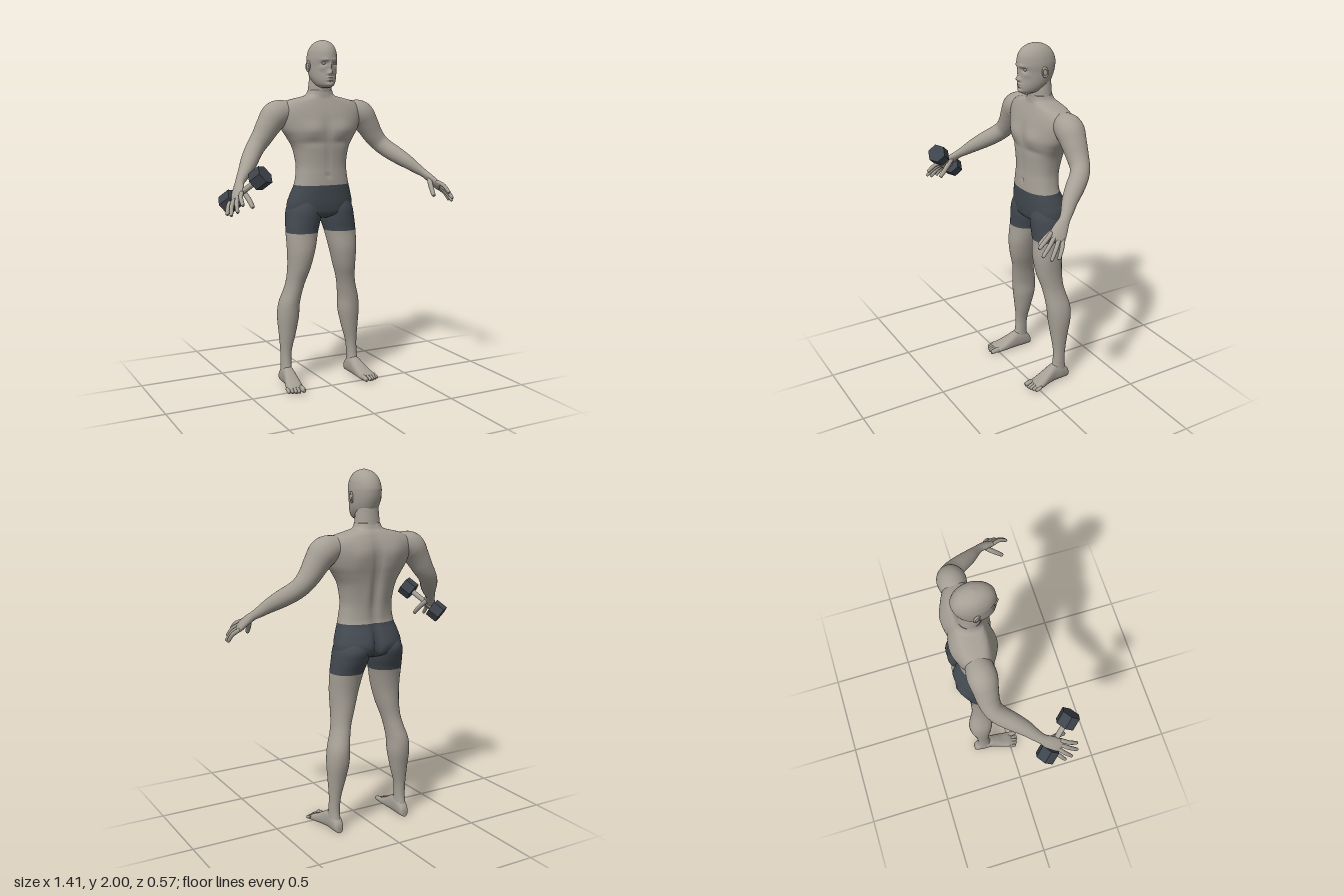
import * as THREE from 'three';

const skin = new THREE.MeshStandardMaterial({ color: 0xa59f95 });
skin.name = 'skin';
const cloth = new THREE.MeshStandardMaterial({ color: 0x424950 });
cloth.name = 'shorts cloth';
const iron = new THREE.MeshStandardMaterial({ color: 0x3e444b });
iron.name = 'dumbbell iron';
const steel = new THREE.MeshStandardMaterial({ color: 0xa8a49c });
steel.name = 'dumbbell handle';

// Smoothly interpolates rows of numbers, with `sub` steps between keys
function smoothRows(keys, sub) {
  const rows = [];
  const last = keys.length - 1;
  for (let i = 0; i < last; i++) {
    const a = keys[Math.max(i - 1, 0)], b = keys[i], c = keys[i + 1], d = keys[Math.min(i + 2, last)];
    for (let k = 0; k < sub; k++) {
      const t = k / sub;
      rows.push(b.map((v, j) => v + 0.5 * t * (c[j] - a[j]
        + t * (2 * a[j] - 5 * v + 4 * c[j] - d[j] + t * (3 * (v - c[j]) + d[j] - a[j])))));
    }
  }
  rows.push(keys[last]);
  return rows;
}

// Closed skin through rings; keys clothFrom..clothTo get the cloth material
function loft(name, keys, point, { n = 32, sub = 6, side = 1, clothFrom = 0, clothTo = 0 } = {}) {
  const rows = smoothRows(keys, sub), pos = [], idx = [];
  rows.forEach((row, i) => {
    for (let j = 0; j < n; j++) {
      const a = (j / n) * Math.PI * 2;
      const p = point(row, Math.cos(a), Math.sin(a), rows[Math.max(i - 1, 0)], rows[Math.min(i + 1, rows.length - 1)]);
      pos.push(p[0] * side, p[1], p[2]);
    }
  });
  const ends = [0, rows.length - 1].map((r) => {
    const c = [0, 0, 0];
    for (let j = 0; j < n * 3; j++) c[j % 3] += pos[r * n * 3 + j] / n;
    return c;
  });
  const capA = rows.length * n;
  pos.push(...ends[0], ...ends[1]);
  for (let i = 0; i < rows.length - 1; i++) {
    for (let j = 0; j < n; j++) {
      const a = i * n + j, b = i * n + (j + 1) % n;
      idx.push(a, b, a + n, b, b + n, a + n);
    }
  }
  const top = (rows.length - 1) * n;
  for (let j = 0; j < n; j++) {
    const k = (j + 1) % n;
    idx.push(capA, k, j, capA + 1, top + j, top + k);
  }
  // Turn every face outward
  let volume = 0;
  const A = new THREE.Vector3(), B = new THREE.Vector3(), C = new THREE.Vector3();
  for (let i = 0; i < idx.length; i += 3) {
    A.fromArray(pos, idx[i] * 3); B.fromArray(pos, idx[i + 1] * 3); C.fromArray(pos, idx[i + 2] * 3);
    volume += A.dot(B.cross(C));
  }
  if (volume < 0) idx.reverse();
  const geo = new THREE.BufferGeometry();
  geo.setAttribute('position', new THREE.Float32BufferAttribute(pos, 3));
  geo.setIndex(idx);
  geo.computeVertexNormals();
  let material = skin;
  if (clothTo > clothFrom) {
    const per = sub * n * 6, caps = n * 6, body = idx.length - caps;
    const flip = volume < 0, total = idx.length;
    const add = (s, e, m) => e > s && geo.addGroup(flip ? total - e : s, e - s, m);
    add(0, clothFrom * per, 0);
    add(clothFrom * per, clothTo * per, 1);
    add(clothTo * per, body, 0);
    add(body, total, clothTo * per === body ? 1 : 0);
    material = [skin, cloth];
  }
  const mesh = new THREE.Mesh(geo, material);
  mesh.name = name;
  return mesh;
}

const pw = (v, e) => Math.sign(v) * Math.abs(v) ** e;

// Level ring: [y, inner x, outer x, front z, back z]; bumps: [side, x, y, width, height, depth]
const levelRing = (e, bumps = [], egg = 0) => ([y, x0, x1, zf, zb], c, s) => {
  const x = (x0 + x1) / 2 + (x1 - x0) / 2 * pw(c, e) * (1 - egg * Math.max(s, 0));
  let z = (zf + zb) / 2 + (zf - zb) / 2 * pw(s, e);
  for (const [f, bx, by, w, h, d] of bumps) {
    if (f * s <= 0) continue;
    const g = Math.exp(-(((Math.abs(x) - bx) / w) ** 2) - ((y - by) / h) ** 2);
    z += f * d * g * Math.min(1, Math.abs(s) * 2);
  }
  return [x, y, z];
};
const centred = (keys) => keys.map(([y, w, f, b]) => [y, -w, w, f, b]);

// Limb ring across the path: [x, y, z, wide radius, thin radius]
const handBack = new THREE.Vector3(0.784, 0.609, 0.077);
const limbRing = (r, c, s, prev, next) => {
  const t = new THREE.Vector3(next[0] - prev[0], next[1] - prev[1], next[2] - prev[2]).normalize();
  const u = new THREE.Vector3().crossVectors(handBack, t).normalize();
  const v = new THREE.Vector3().crossVectors(t, u);
  return [0, 1, 2].map((k) => r[k] + u.getComponent(k) * r[3] * c + v.getComponent(k) * r[4] * s);
};
// Finger or toe through three points
function digit(name, a, b, c, r, side) {
  const tip = c.map((v, k) => v + (c[k] - b[k]) * 0.08);
  return loft(name, [[...a, r, r], [...b, r, r], [...c, r * 0.8, r * 0.8], [...tip, r * 0.25, r * 0.25]],
    limbRing, { n: 12, sub: 4, side });
}

function headAndTorso(g) {
  g.add(loft('torso', centred([
    [1.72, 0.068, -0.09, -0.213], [1.69, 0.085, -0.087, -0.225], [1.675, 0.14, -0.085, -0.237],
    [1.655, 0.215, -0.078, -0.25], [1.62, 0.255, -0.065, -0.266], [1.57, 0.258, -0.05, -0.276],
    [1.5, 0.235, -0.038, -0.274], [1.45, 0.203, -0.036, -0.266], [1.39, 0.17, -0.04, -0.254],
    [1.3, 0.152, -0.043, -0.238], [1.24, 0.155, -0.04, -0.233], [1.18, 0.166, -0.037, -0.237],
    [1.12, 0.186, -0.038, -0.262], [1.06, 0.2, -0.042, -0.278], [1.01, 0.185, -0.055, -0.262], [0.985, 0.08, -0.1, -0.21],
  ]), levelRing(0.85, [
    // chest, breastbone, belly line and navel
    [1, 0.09, 1.5, 0.065, 0.045, 0.013], [1, 0, 1.5, 0.016, 0.07, -0.006], [1, 0.09, 1.425, 0.07, 0.02, -0.006],
    [1, 0, 1.33, 0.012, 0.09, -0.004], [1, 0, 1.235, 0.008, 0.01, -0.008],
    // shoulder blades, spine and seat cleft
    [-1, 0.1, 1.56, 0.06, 0.07, 0.012], [-1, 0, 1.42, 0.022, 0.2, -0.018], [-1, 0.05, 1.3, 0.03, 0.1, 0.004],
    [-1, 0.09, 1.07, 0.06, 0.06, 0.006], [-1, 0, 1.06, 0.018, 0.08, -0.035],
  ]), { n: 80, clothFrom: 11, clothTo: 15 }));

  g.add(loft('neck', centred([[1.82, 0.058, -0.1, -0.208], [1.75, 0.066, -0.09, -0.212],
    [1.7, 0.073, -0.09, -0.217], [1.65, 0.09, -0.082, -0.235]]),
  levelRing(0.95, [[1, 0, 1.725, 0.014, 0.014, 0.006], [1, 0.03, 1.69, 0.012, 0.05, 0.004]])));

  g.add(loft('head', centred([
    [2, 0.004, -0.113, -0.125], [1.99, 0.035, -0.07, -0.165], [1.97, 0.058, -0.038, -0.2],
    [1.94, 0.073, -0.018, -0.223], [1.905, 0.08, -0.011, -0.235], [1.88, 0.081, -0.012, -0.235],
    [1.85, 0.079, -0.019, -0.23], [1.82, 0.076, -0.019, -0.22], [1.79, 0.07, -0.016, -0.205],
    [1.765, 0.06, -0.016, -0.18], [1.745, 0.046, -0.021, -0.155], [1.732, 0.022, -0.04, -0.11],
  ]), levelRing(0.95, [
    // eye sockets, brow and cheekbones
    [1, 0.032, 1.867, 0.015, 0.011, -0.013], [1, 0.028, 1.887, 0.02, 0.008, 0.006], [1, 0.045, 1.84, 0.016, 0.014, 0.005],
    // nose and nostrils
    [1, 0, 1.85, 0.009, 0.022, 0.013], [1, 0, 1.817, 0.011, 0.012, 0.022], [1, 0.013, 1.811, 0.006, 0.007, 0.009],
    // lips and chin
    [1, 0, 1.788, 0.021, 0.004, 0.008], [1, 0, 1.775, 0.018, 0.005, 0.008], [1, 0, 1.764, 0.02, 0.005, -0.003],
    [1, 0, 1.748, 0.02, 0.01, 0.005],
  ], 0.1), { n: 112, sub: 8 }));

  for (const side of [1, -1]) {
    const eye = new THREE.Mesh(new THREE.SphereGeometry(0.011, 16, 12), skin);
    eye.name = 'eye';
    eye.scale.set(1.1, 0.7, 0.8);
    eye.position.set(side * 0.031, 1.867, -0.038);
    const ear = new THREE.Group();
    ear.name = 'ear';
    const rim = new THREE.Mesh(new THREE.TorusGeometry(0.019, 0.006, 8, 24), skin);
    const bowl = new THREE.Mesh(new THREE.SphereGeometry(0.018, 16, 10), skin);
    rim.name = 'ear rim';
    bowl.name = 'ear bowl';
    bowl.scale.z = 0.35;
    ear.add(rim, bowl);
    ear.scale.set(0.75, 1.25, 1);
    ear.rotation.set(0.15, side * (Math.PI / 2 - 0.25), 0);
    ear.position.set(side * 0.085, 1.853, -0.13);
    g.add(eye, ear);
  }
}

function arm(g, side) {
  g.add(loft('arm', [
    [0.16, 1.605, -0.167, 0.05, 0.045], [0.22, 1.595, -0.168, 0.07, 0.07], [0.275, 1.575, -0.167, 0.078, 0.08],
    [0.318, 1.52, -0.165, 0.069, 0.07], [0.357, 1.46, -0.163, 0.06, 0.06], [0.397, 1.41, -0.153, 0.053, 0.053],
    [0.432, 1.373, -0.123, 0.052, 0.05], [0.472, 1.335, -0.07, 0.05, 0.047], [0.515, 1.295, -0.013, 0.042, 0.039],
    [0.555, 1.257, 0.03, 0.033, 0.029], [0.583, 1.23, 0.064, 0.029, 0.022], [0.605, 1.2, 0.1, 0.039, 0.021],
    [0.626, 1.168, 0.135, 0.045, 0.018], [0.636, 1.152, 0.152, 0.038, 0.012],
  ], limbRing, { side }));
  // Fingers fan out from the knuckles, the thumb from the wrist
  [[0.635, 1.137, 0.243], [0.662, 1.103, 0.238], [0.683, 1.083, 0.202], [0.69, 1.083, 0.163]].forEach((tip, i) => {
    const k = (i - 1.5) * 0.023;
    const base = [0.624 + 0.48 * k, 1.172 - 0.53 * k, 0.133 - 0.7 * k];
    const mid = base.map((v, j) => (v + tip[j]) / 2 + [0.008, 0.006, 0.001][j]);
    g.add(digit('finger', base, mid, tip, 0.0115, side));
  });
  g.add(digit('thumb', [0.592, 1.208, 0.1], [0.572, 1.162, 0.152], [0.562, 1.118, 0.195], 0.014, side));
}

function leg(g, side) {
  g.add(loft('leg', [
    [1.1, 0.03, 0.17, -0.06, -0.25], [1.04, 0.008, 0.2, -0.045, -0.278], [0.98, 0.01, 0.21, -0.045, -0.265],
    [0.905, 0.03, 0.217, -0.049, -0.236], [0.8, 0.055, 0.215, -0.042, -0.216], [0.7, 0.082, 0.212, -0.055, -0.212],
    [0.62, 0.108, 0.217, -0.078, -0.214], [0.56, 0.123, 0.23, -0.09, -0.226], [0.48, 0.135, 0.255, -0.1, -0.245],
    [0.4, 0.138, 0.263, -0.108, -0.244], [0.3, 0.158, 0.257, -0.122, -0.224], [0.2, 0.184, 0.25, -0.133, -0.208],
    [0.12, 0.19, 0.25, -0.128, -0.204], [0.06, 0.19, 0.252, -0.11, -0.214], [0.025, 0.2, 0.245, -0.12, -0.21],
  ], levelRing(0.95), { side, n: 40, clothFrom: 0, clothTo: 3 }));
  // Foot from heel to ball: [z, centre x, half width, height]
  g.add(loft('foot', [
    [-0.232, 0.219, 0.012, 0.035], [-0.222, 0.219, 0.025, 0.062], [-0.18, 0.22, 0.033, 0.1], [-0.13, 0.221, 0.035, 0.108],
    [-0.08, 0.226, 0.041, 0.083], [-0.04, 0.232, 0.047, 0.06], [0, 0.238, 0.05, 0.042], [0.02, 0.239, 0.047, 0.03],
  ], ([z, x, w, h], c, s) => [x + w * pw(c, 0.8), h / 2 * (1 + pw(s, 0.8)), z], { side }));
  for (let i = 0; i < 5; i++) {
    const x = i ? 0.213 + i * 0.018 : 0.204, r = i ? 0.0105 : 0.015, z = 0.056 - 0.0015 * i * i;
    g.add(digit('toe', [x, 0.022, -0.005], [x, 0.022, z - 0.03], [x + 0.002, r + 0.002, z], r, side));
  }
}

// Hexagonal dumbbell held in the right hand
function dumbbell() {
  const g = new THREE.Group();
  g.name = 'dumbbell';
  const a = new THREE.Vector3(-0.528, 1.268, 0.22), b = new THREE.Vector3(-0.642, 1.138, 0.078);
  const length = a.distanceTo(b);
  const hex = new THREE.CylinderGeometry(0.056, 0.056, 0.074, 6).toNonIndexed();
  hex.computeVertexNormals();
  for (const end of [1, -1]) {
    const weight = new THREE.Mesh(hex, iron);
    weight.name = 'dumbbell weight';
    weight.position.y = end * length / 2;
    g.add(weight);
  }
  const handle = new THREE.Mesh(new THREE.CylinderGeometry(0.015, 0.015, length, 20), steel);
  handle.name = 'dumbbell handle';
  g.add(handle);
  g.position.copy(a).add(b).multiplyScalar(0.5);
  g.quaternion.setFromUnitVectors(new THREE.Vector3(0, 1, 0), a.sub(b).normalize());
  return g;
}

export function createModel() {
  const model = new THREE.Group();
  model.name = 'athlete with dumbbell';
  headAndTorso(model);
  for (const side of [1, -1]) {
    arm(model, side);
    leg(model, side);
  }
  model.add(dumbbell());
  return model;
}
